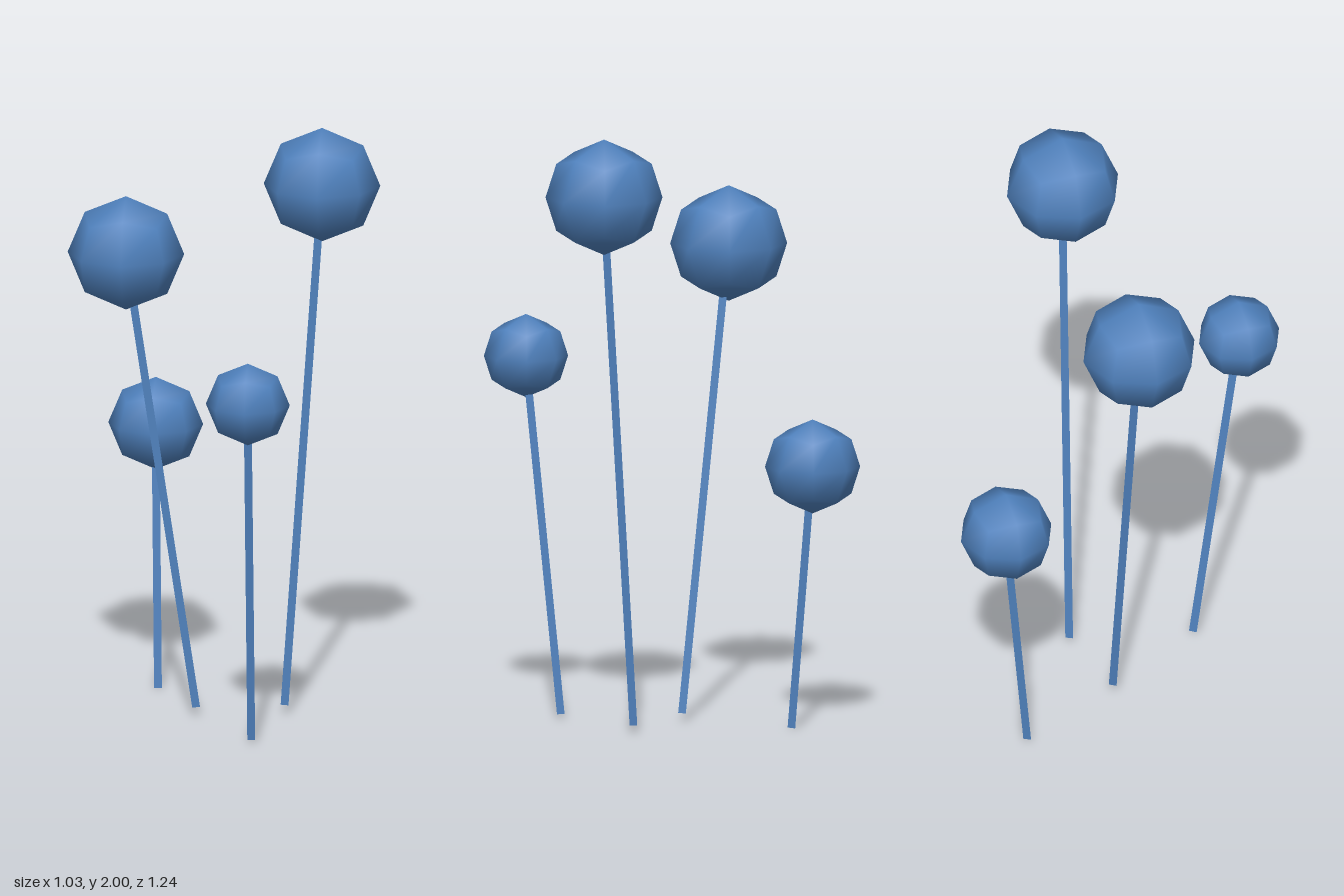
import * as THREE from 'three';

const STEM_RADIUS = 0.015;

// Low-poly ball: a cube cut 2 x 2 x 2 and pushed out to a sphere, with smooth radial normals
function ballGeometry(radius) {
  const geometry = new THREE.BoxGeometry(1, 1, 1, 2, 2, 2);
  const position = geometry.attributes.position;
  const v = new THREE.Vector3();
  for (let i = 0; i < position.count; i++) {
    v.fromBufferAttribute(position, i).normalize();
    geometry.attributes.normal.setXYZ(i, v.x, v.y, v.z);
    position.setXYZ(i, v.x * radius, v.y * radius, v.z * radius);
  }
  return geometry;
}

// Thin three-sided stem with one edge facing back, running from foot to head
function createStem(foot, head, material) {
  const along = head.clone().sub(foot);
  const length = along.length();
  const geometry = new THREE.CylinderGeometry(
    STEM_RADIUS, STEM_RADIUS, length, 3, 1, false, Math.PI);
  const stem = new THREE.Mesh(geometry, material);
  stem.name = 'stem';
  stem.position.copy(foot).add(head).multiplyScalar(0.5);
  stem.quaternion.setFromUnitVectors(new THREE.Vector3(0, 1, 0), along.normalize());
  return stem;
}

export function createModel() {
  const model = new THREE.Group();
  model.name = 'ballFlowers';
  const color = 0x4f81bd;
  const ballMaterial = new THREE.MeshStandardMaterial({ color });
  const stemMaterial = new THREE.MeshStandardMaterial({ color, flatShading: true });

  // Each flower: ball centre, ball radius, foot of the stem
  const flowers = [
    { name: 'tallLeftFlower', head: [0.32, 1.807, -0.068], radius: 0.193, foot: [0.195, 0.03, -0.085] },
    { name: 'tallRightFlower', head: [-0.325, 1.573, -0.018], radius: 0.193, foot: [-0.093, 0.03, -0.03] },
    { name: 'shortBackFlower', head: [-0.265, 0.883, -0.46], radius: 0.157, foot: [-0.25, 0.003, -0.38] },
    { name: 'frontFlower', head: [0.122, 1.193, 0.48], radius: 0.139, foot: [0.12, 0.013, 0.32] },
  ];

  for (const { name, head, radius, foot } of flowers) {
    const flower = new THREE.Group();
    flower.name = name;
    const centre = new THREE.Vector3(...head);
    const ball = new THREE.Mesh(ballGeometry(radius), ballMaterial);
    ball.name = 'ball';
    ball.position.copy(centre);
    flower.add(ball, createStem(new THREE.Vector3(...foot), centre, stemMaterial));
    model.add(flower);
  }
  return model;
}
